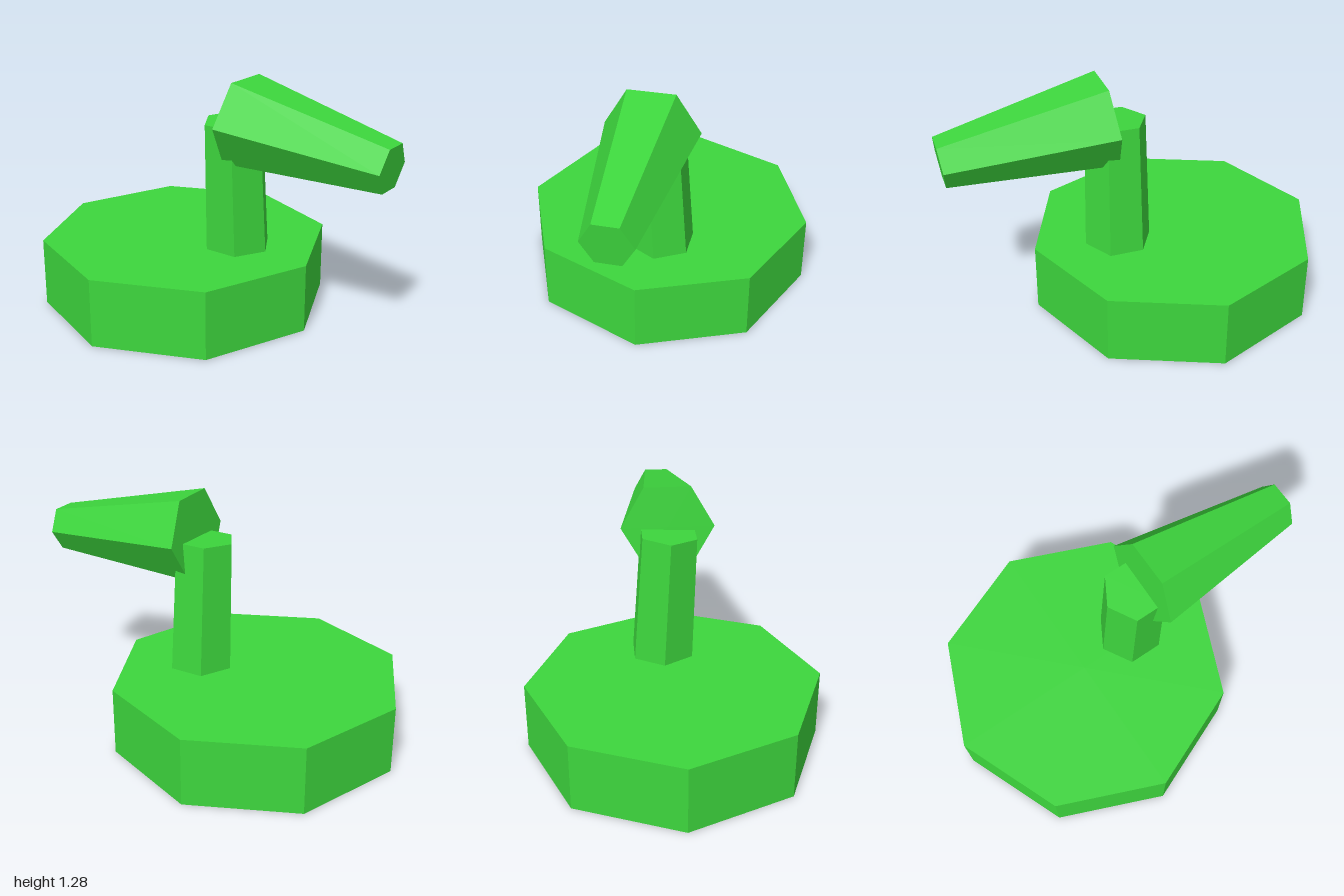
import * as THREE from 'three';

export function createModel() {
  const model = new THREE.Group();
  const green = new THREE.MeshStandardMaterial({ color: 0x3dd63d, flatShading: true });
  green.name = 'green';

  // Tapered prism running from one point to another; spin turns it about its own axis
  function prism(name, from, to, rFrom, rTo, sides, spin = 0) {
    const a = new THREE.Vector3(...from), b = new THREE.Vector3(...to);
    const dir = b.clone().sub(a);
    const geo = new THREE.CylinderGeometry(rTo, rFrom, dir.length(), sides);
    geo.rotateY(spin);
    const mesh = new THREE.Mesh(geo, green);
    mesh.name = name;
    mesh.position.copy(a).add(b).multiplyScalar(0.5);
    mesh.quaternion.setFromUnitVectors(new THREE.Vector3(0, 1, 0), dir.normalize());
    model.add(mesh);
  }

  // Octagonal base
  prism('base', [0, 0, -0.228], [0, 0.365, -0.228], 0.772, 0.772, 8);
  // Slightly leaning hexagonal post, sunk into the base
  prism('post', [0.042, 0.2, 0.097], [-0.001, 1.055, 0.094], 0.182, 0.162, 6);
  // Tapered hexagonal barrel pointing forward and a little down
  prism('barrel', [0, 1.07, 0.137], [0, 0.97, 0.987], 0.245, 0.128, 6, Math.PI / 6);

  return model;
}
